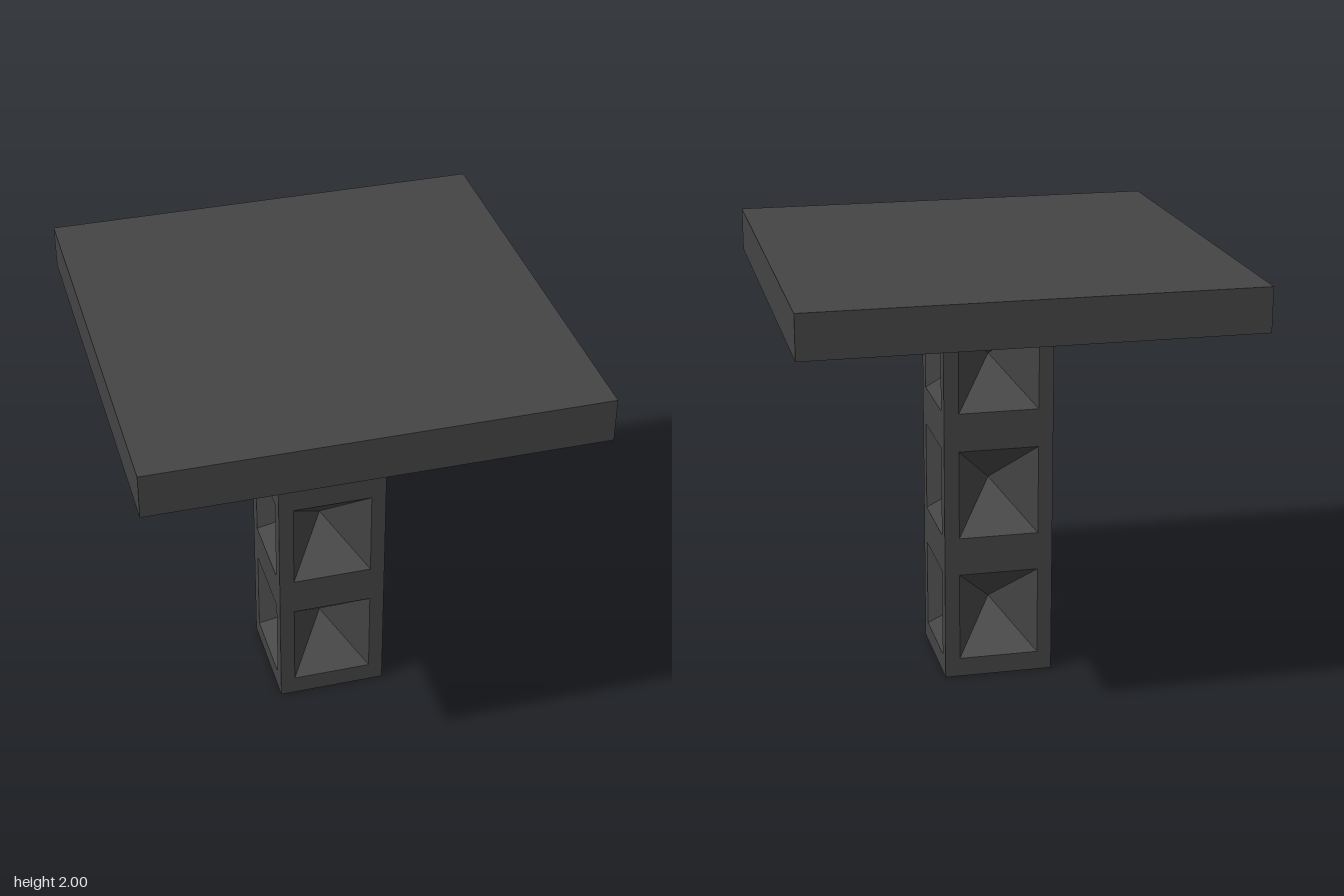
import * as THREE from 'three';
import { mergeGeometries } from 'three/addons/utils/BufferGeometryUtils.js';

const HALF = 0.253;      // half width of the column
const HEIGHT = 1.8;      // column height
const RECESS = { halfW: 0.185, halfH: 0.21, depth: 0.23 };
const CENTRES = [0.3, 0.9, 1.5];

// Corners of a recess opening, counter-clockwise
function corners(cy) {
  const { halfW: w, halfH: h } = RECESS;
  return [[-w, cy - h], [w, cy - h], [w, cy + h], [-w, cy + h]];
}

// Flat column side with three rectangular openings
function sidePanel() {
  const shape = new THREE.Shape();
  shape.moveTo(-HALF, 0).lineTo(HALF, 0).lineTo(HALF, HEIGHT).lineTo(-HALF, HEIGHT).closePath();
  for (const cy of CENTRES) {
    const pts = corners(cy).map(([x, y]) => new THREE.Vector2(x, y));
    shape.holes.push(new THREE.Path(pts.reverse()));
  }
  const geo = new THREE.ShapeGeometry(shape).toNonIndexed();
  geo.deleteAttribute('uv');
  return geo;
}

// Inward pyramid: four triangles running from the opening to the apex
function recess(cy) {
  const c = corners(cy);
  const pos = [];
  c.forEach((a, i) => {
    const b = c[(i + 1) % 4];
    pos.push(...a, 0, ...b, 0, 0, cy, -RECESS.depth);
  });
  const geo = new THREE.BufferGeometry();
  geo.setAttribute('position', new THREE.Float32BufferAttribute(pos, 3));
  geo.computeVertexNormals();
  return geo;
}

export function createModel() {
  const model = new THREE.Group();
  model.name = 'pedestalTable';
  const material = new THREE.MeshStandardMaterial({ color: 0x444444, flatShading: true });

  const add = (name, geo, parent = model) => {
    const mesh = new THREE.Mesh(geo, material);
    mesh.name = name;
    parent.add(mesh);
    return mesh;
  };

  // Square slab top
  add('tableTop', new THREE.BoxGeometry(2, 0.2, 2)).position.y = HEIGHT + 0.1;

  // Column: four identical sides and a base
  const column = new THREE.Group();
  column.name = 'column';
  model.add(column);
  const side = mergeGeometries([sidePanel(), ...CENTRES.map(recess)]);
  side.translate(0, 0, HALF);
  ['front', 'left', 'back', 'right'].forEach((name, i) => {
    add(name + 'Side', side, column).rotation.y = i * Math.PI / 2;
  });
  add('columnBase', new THREE.PlaneGeometry(2 * HALF, 2 * HALF), column).rotation.x = Math.PI / 2;

  return model;
}
